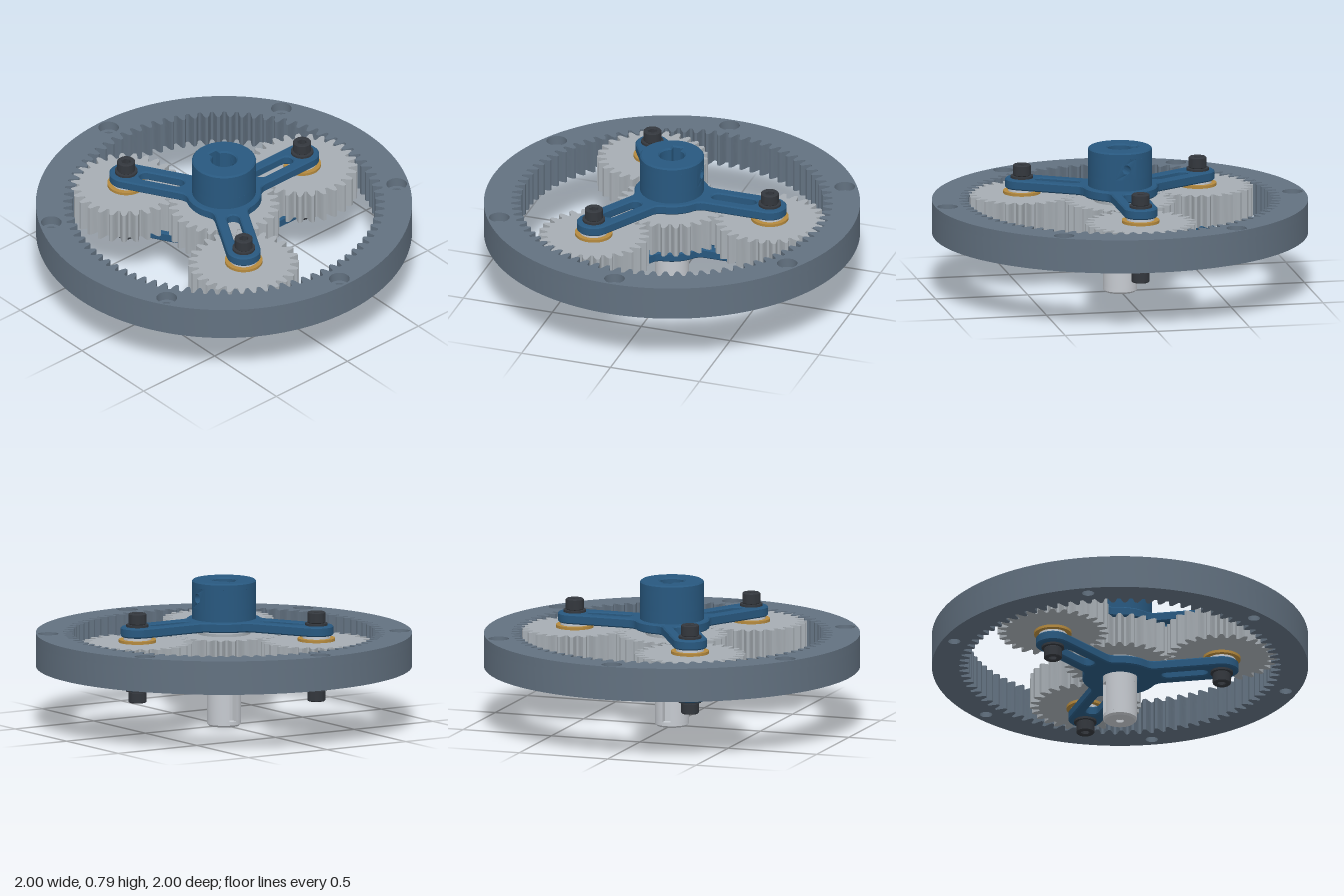
import * as THREE from 'three';
import { toCreasedNormals } from 'three/addons/utils/BufferGeometryUtils.js';

const TAU = Math.PI * 2, MID = 0.41; // MID: height of the gear plane
const paint = (color) => new THREE.MeshStandardMaterial({ color });
const ringMat = paint(0x627180), blue = paint(0x28587f), gearMat = paint(0xa6adb3);
const steel = paint(0xc6cad0), dark = paint(0x33373d), brass = paint(0xb58a3e);

const V = (x, y) => new THREE.Vector2(x, y);

function arc(cx, cy, r, a0, a1, n) {
  return Array.from({ length: n + 1 }, (_, i) => {
    const a = a0 + (a1 - a0) * i / n;
    return V(cx + r * Math.cos(a), cy + r * Math.sin(a));
  });
}
const circle = (r, n = 32, cx = 0, cy = 0) => arc(cx, cy, r, 0, TAU * (n - 1) / n, n - 1);

function mesh(name, geo, mat) {
  const m = new THREE.Mesh(toCreasedNormals(geo, 0.5), mat);
  m.name = name;
  return m;
}

// Flat outline with holes, raised from y0 to y1
function slab(name, outline, holes, y0, y1, mat, bevel = 0) {
  const shape = new THREE.Shape(outline);
  holes.forEach((h) => shape.holes.push(new THREE.Path(h)));
  const geo = new THREE.ExtrudeGeometry(shape, {
    depth: y1 - y0 - 2 * bevel, bevelEnabled: bevel > 0, bevelSize: bevel,
    bevelThickness: bevel, bevelOffset: -bevel, bevelSegments: 1,
  });
  geo.translate(0, 0, bevel).rotateX(-Math.PI / 2).translate(0, y0, 0);
  return mesh(name, geo, mat);
}

function disc(name, r, y0, y1, mat) {
  const geo = new THREE.CylinderGeometry(r, r, y1 - y0, 48);
  return mesh(name, geo.translate(0, (y0 + y1) / 2, 0), mat);
}

// Tooth outline; tip < root gives an internal gear
function teeth(count, root, pitch, tip, phase) {
  const near = root + (pitch - root) * 0.25;
  const half = [[0.41, root], [0.34, near], [0.25, pitch], [0.18, (pitch + tip) / 2], [0.11, tip]];
  const tooth = [...half.map(([u, r]) => [-u, r]), ...half.slice().reverse()];
  const pts = [];
  for (let i = 0; i < count; i++) {
    for (const [u, r] of tooth) {
      const a = (i + phase + u) * TAU / count;
      pts.push(V(r * Math.cos(a), r * Math.sin(a)));
    }
  }
  return pts;
}

// Bore with a key slot towards the back
const BORE = 0.067, KEY = Math.asin(0.025 / BORE);
const keyedBore = (a0, a1) => [
  ...arc(0, 0, BORE, a0, Math.PI / 2 - KEY, 8), V(0.025, 0.095), V(-0.025, 0.095),
  ...arc(0, 0, BORE, Math.PI / 2 + KEY, a1, 24),
];

// Three slotted arms blended into a round centre
function carrierOutline() {
  const f = 0.06, w = 0.09, hub = 0.2;
  const cy = w + f, cx = Math.sqrt((hub + f) ** 2 - cy * cy), t = Math.atan2(cy, cx);
  const q = Math.PI / 2, arm = [
    ...arc(cx, -cy, f, Math.PI - t, q, 6),
    ...arc(0.55, 0, w, -q, q, 24),
    ...arc(cx, cy, f, -q, -Math.PI + t, 6),
    ...arc(0, 0, hub, t, TAU / 3 - t, 10).slice(1, -1),
  ];
  return [0, 1, 2].flatMap((i) => arm.map((p) => p.clone().rotateAround(V(0, 0), i * TAU / 3)));
}

function carrierPlate(name, y0, y1, bore) {
  const slot = [...arc(0.26, 0, 0.035, Math.PI / 2, Math.PI * 1.5, 10),
    ...arc(0.44, 0, 0.035, -Math.PI / 2, Math.PI / 2, 10)];
  const slots = [0, 1, 2].map((i) => slot.map((p) => p.clone().rotateAround(V(0, 0), i * TAU / 3)));
  return slab(name, carrierOutline(), [bore, ...slots], y0, y1, blue, 0.007);
}

// Hub with a round set-screw hole through its +x wall
function createHub() {
  const g = new THREE.Group(), R = 0.17, A = 0.35, y0 = 0.64, y1 = 0.75;
  g.name = 'outputHub';
  const bore = keyedBore(0, TAU - 0.2);
  g.add(slab('hubBase', circle(R, 64), [bore], 0.57, y0, blue));
  g.add(slab('hubWall', [...arc(0, 0, R, A, TAU - A, 56), ...keyedBore(A, TAU - A).reverse()],
    [], y0, y1, blue));
  g.add(slab('hubRim', circle(R, 64), [bore], y1 - 0.008, 0.785, blue, 0.008));
  // Panel with the hole, bent round the axis
  const u = A * R, edge = [-1, -0.6, -0.2, 0.2, 0.6, 1].map((k) => k * u);
  const panel = new THREE.Shape([...edge.map((x) => V(x, y0)), ...edge.reverse().map((x) => V(x, y1))]);
  panel.holes.push(new THREE.Path(circle(0.025, 24, 0, 0.695)));
  const geo = new THREE.ExtrudeGeometry(panel, { depth: R - BORE, bevelEnabled: false });
  const p = geo.attributes.position;
  for (let i = 0; i < p.count; i++) {
    const a = p.getX(i) / R, r = BORE + p.getZ(i);
    p.setXYZ(i, r * Math.cos(a), p.getY(i), -r * Math.sin(a));
  }
  geo.computeVertexNormals();
  g.add(mesh('setScrewWall', geo, blue));
  return g;
}

// Input shaft with a closed key slot and a centre-drilled end
function createShaft() {
  const g = new THREE.Group(), r = 0.09, k = Math.asin(0.022 / r);
  g.name = 'inputShaft';
  const end = [V(0, 0.025), V(0.022, 0.015), V(0.022, 0), V(0.08, 0), V(r, 0.01), V(r, 0.03), V(0, 0.03)];
  g.add(mesh('shaftEnd', new THREE.LatheGeometry(end, 48), steel));
  g.add(slab('keyedShaft', [...arc(0, 0, r, Math.PI / 2 + k, Math.PI * 2.5 - k, 48),
    V(0.022, 0.05), V(-0.022, 0.05)], [], 0.03, 0.21, steel));
  g.add(disc('shaftBody', r, 0.21, 0.515, steel));
  return g;
}

// Spacer, washer and socket screw for one side of a planet
function createFastener() {
  const g = new THREE.Group();
  g.name = 'fastener';
  g.add(disc('bushingFlange', 0.1, 0.08, 0.1, brass));
  g.add(disc('spacer', 0.075, 0.1, 0.116, steel));
  g.add(disc('washer', 0.06, 0.166, 0.18, dark));
  g.add(disc('screwShank', 0.03, 0, 0.2, dark));
  g.add(slab('screwHead', circle(0.048), [circle(0.024, 6)], 0.18, 0.24, dark, 0.005));
  return g;
}

export function createModel() {
  const model = new THREE.Group();
  model.name = 'planetaryGearSet';

  // Ring gear in two layers, so the bolt holes are counterbored
  const ring = new THREE.Group();
  ring.name = 'ringGear';
  const inner = teeth(81, 0.855, 0.825, 0.805, 0.5);
  const boltHoles = (r) => [0, 1, 2, 3, 4, 5].map((i) => {
    const a = Math.PI / 6 + i * TAU / 6;
    return circle(r, 24, 0.935 * Math.cos(a), 0.935 * Math.sin(a));
  });
  ring.add(slab('ringLower', circle(1, 128), [inner, ...boltHoles(0.033)], 0.32, 0.45, ringMat));
  ring.add(slab('ringUpper', circle(1, 128), [inner, ...boltHoles(0.055)], 0.45, 0.5, ringMat));
  model.add(ring);

  // Sun gear on the input shaft
  const gearOutline = teeth(27, 0.247, 0.275, 0.295, 0);
  model.add(slab('sunGear', gearOutline, [], 0.325, 0.495, gearMat));
  model.add(disc('sunGearBoss', 0.14, 0.31, 0.51, gearMat));
  model.add(createShaft());

  // Planets with mirrored fasteners above and below
  for (let i = 0; i < 3; i++) {
    const arm = new THREE.Group(), planet = new THREE.Group();
    arm.name = 'planetArm' + (i + 1);
    arm.rotation.y = i * TAU / 3;
    planet.name = 'planet';
    planet.position.set(0.55, MID, 0);
    planet.add(slab('planetGear', gearOutline, [], -0.085, 0.085, gearMat));
    const top = createFastener(), bottom = createFastener();
    bottom.rotation.x = Math.PI;
    planet.add(top, bottom);
    arm.add(planet);
    model.add(arm);
  }

  // Carrier
  model.add(carrierPlate('upperCarrier', 0.525, 0.578, keyedBore(0, TAU - 0.2)));
  model.add(carrierPlate('lowerCarrier', 0.242, 0.295, circle(0.095)));
  model.add(createHub());
  return model;
}
